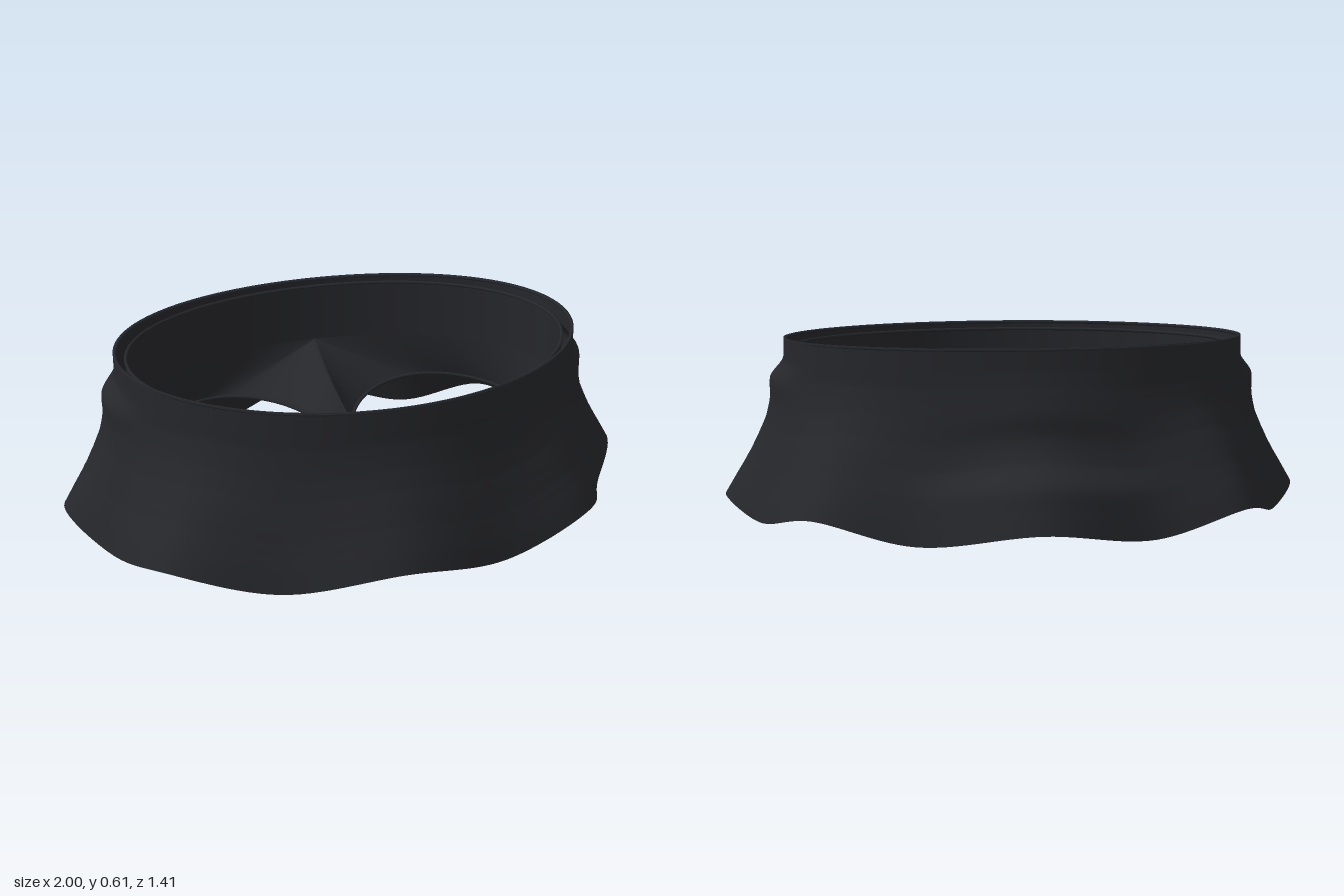
import * as THREE from 'three';
import { ParametricGeometry } from 'three/addons/geometries/ParametricGeometry.js';

const V = (x, y, z) => new THREE.Vector3(x, y, z);
const TAU = Math.PI * 2;
const lerp = THREE.MathUtils.lerp;

// Depth of a body-shaped oval: fuller in front than behind
const depth = (a, rz, shift) => rz * Math.sin(a) + shift * Math.sin(a) ** 2;

export function createModel() {
  const group = new THREE.Group();
  const cloth = new THREE.MeshStandardMaterial({ color: 0x26272b, side: THREE.DoubleSide });

  const add = (name, geometry) => {
    const mesh = new THREE.Mesh(geometry, cloth);
    mesh.name = name;
    group.add(mesh);
  };
  const surface = (name, fn, nu, nv) =>
    add(name, new ParametricGeometry((u, v, t) => t.copy(fn(u, v)), nu, nv));
  // Thin rolled edge along a closed loop
  const trim = (name, fn, radius) => {
    const pts = Array.from({ length: 48 }, (_, i) => fn(i / 48));
    add(name, new THREE.TubeGeometry(new THREE.CatmullRomCurve3(pts, true), 120, radius, 6, true));
  };

  // Wavy hem: eight flared folds, each lifted, with low valleys between
  const front = [[1, 0.07, 0], [0.875, 0, 0.22], [0.72, 0.065, 0.48], [0.38, 0.003, 0.6], [0, 0.08, 0.705]];
  const back = [[0, 0.06, -0.71], [0.38, 0.005, -0.575], [0.69, 0.075, -0.495], [0.875, 0.015, -0.22]];
  const flip = (list) => list.filter((p) => p[0] > 0).reverse().map(([x, y, z]) => [-x, y, z]);
  const hem = new THREE.CatmullRomCurve3(
    [...front, ...flip(front), ...flip(back), ...back].map((p) => V(...p)), true);

  // Flare from waist (0) to hem (1): x = general, y = hips, z = seat
  const flare = new THREE.CatmullRomCurve3([
    [0, 0, 0], [0.01, 0.01, 0.02], [0.03, 0.23, 0.08], [0.11, 0.24, 0.15], [0.25, 0.31, 0.17],
    [0.44, 0.45, 0.32], [0.63, 0.62, 0.74], [0.83, 0.81, 0.88], [1, 1, 1],
  ].map((p) => V(...p)));

  const waist = (u) => V(0.79 * Math.cos(u * TAU), 0.605, depth(u * TAU, 0.54, 0.04));
  const skirt = (u, v) => {
    const top = waist(u), low = hem.getPoint(u), f = flare.getPoint(v);
    const hip = Math.exp(-((top.z / 0.18) ** 4));
    const seat = top.z < 0 ? Math.exp(-((top.x / 0.34) ** 4)) : 0;
    const k = f.x + (f.y - f.x) * hip + (f.z - f.x) * seat;
    return V(lerp(top.x, low.x, k), lerp(top.y, low.y, v), lerp(top.z, low.z, k));
  };
  surface('skirt', skirt, 192, 48);
  trim('waistEdge', (u) => waist(u).multiply(V(0.993, 0.991, 0.993)), 0.006);

  // Inner shorts: hip band below the waist
  const HIP = 0.36, SEAM = 0.28;
  const band = (u, v) => V(
    lerp(0.75, 0.76, v) * Math.cos(u * TAU), lerp(0.575, HIP, v), depth(u * TAU, 0.517, 0.03));
  surface('shortsBand', band, 96, 6);
  trim('shortsBandEdge', (u) => band(u, 0), 0.006);

  // Inner shorts: two short legs joined along the crotch seam
  for (const s of [1, -1]) {
    const side = s > 0 ? 'left' : 'right';
    const hip = (a) => {
      const c = Math.cos(a), n = Math.sin(a);
      return V(s * 0.76 * Math.max(0, c), c > 0 ? HIP : lerp(SEAM, HIP, n * n), depth(a, 0.517, 0.03));
    };
    const cuff = (a) => {
      const z = 0.02 + 0.45 * Math.sin(a);
      return V(s * (0.39 + 0.362 * Math.cos(a)), 0.168 - 0.05 * z, z);
    };
    surface(side + 'ShortsLeg', (u, v) => hip(s * u * TAU).lerp(cuff(s * u * TAU), v), 96, 10);
    trim(side + 'LegEdge', (u) => cuff(s * u * TAU), 0.007);
  }

  // Raised seam along the crotch
  const seam = [-1, -0.6, 0, 0.6, 1].map((n) => V(0, lerp(SEAM, HIP, n * n), 0.517 * n + 0.03 * n * n));
  add('crotchSeam', new THREE.TubeGeometry(new THREE.CatmullRomCurve3(seam), 40, 0.005, 6));

  return group;
}
